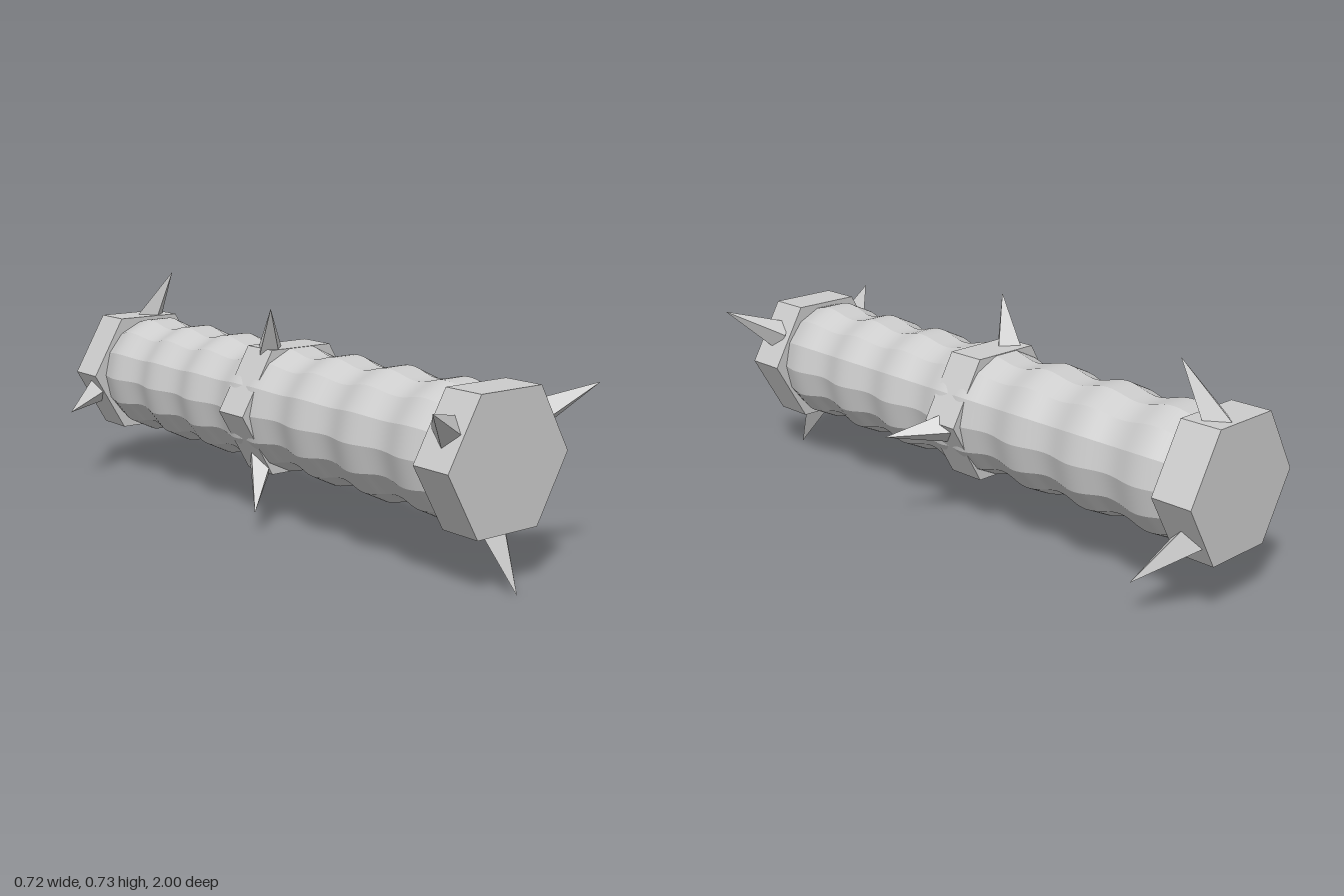
import * as THREE from 'three';

const CX = -0.008, CY = 0.375; // axis of the club

// Fourteen separate strips: crisp lengthwise edges, smooth swells along the shaft
function wavyShaft(z0, z1) {
  const sides = 14, steps = 60, pos = [], idx = [];
  for (let s = 0; s < sides; s++) {
    const base = pos.length / 3;
    for (let i = 0; i <= steps; i++) {
      const z = z0 + (z1 - z0) * i / steps;
      const r = 0.194 - 0.011 * Math.cos((Math.abs(z + 0.015) - 0.165) / 0.24 * Math.PI * 2);
      for (const k of [s, s + 1]) {
        const a = k / sides * Math.PI * 2;
        pos.push(r * Math.cos(a), r * Math.sin(a), z);
      }
      if (i < steps) {
        const a = base + i * 2;
        idx.push(a, a + 1, a + 3, a, a + 3, a + 2);
      }
    }
  }
  const g = new THREE.BufferGeometry();
  g.setAttribute('position', new THREE.Float32BufferAttribute(pos, 3));
  g.setIndex(idx);
  g.computeVertexNormals();
  return g;
}

export function createModel() {
  const model = new THREE.Group();
  const metal = new THREE.MeshStandardMaterial({ color: 0xcccccc, flatShading: true });
  metal.name = 'grey metal';
  const smooth = new THREE.MeshStandardMaterial({ color: 0xcccccc });
  smooth.name = 'grey shaft';
  const club = new THREE.Group();
  club.name = 'spikedClub';
  club.position.set(CX, CY, 0);
  model.add(club);

  // Shaft between the collars
  [['frontShaft', 0, 0.9], ['backShaft', -0.93, 0]].forEach(([name, a, b]) => {
    const shaft = new THREE.Mesh(wavyShaft(a, b), smooth);
    shaft.name = name;
    club.add(shaft);
  });

  // Hexagonal collars, each with three spikes leaning forward
  const up = new THREE.Vector3(0, 1, 0);
  const collars = [
    ['front', 0.825, 0.96, [31, 151, 271]],
    ['middle', -0.083, 0.045, [114, 234.5, 354.5]],
    ['back', -1, -0.865, [77, 197.5, 317]],
  ];
  for (const [name, z0, z1, angles] of collars) {
    const hex = new THREE.CylinderGeometry(0.231, 0.231, z1 - z0, 6);
    hex.rotateY(Math.PI / 6).rotateX(Math.PI / 2);
    const collar = new THREE.Mesh(hex, metal);
    collar.name = name + 'Collar';
    collar.position.z = (z0 + z1) / 2;
    club.add(collar);

    const tipZ = { front: 0.995, middle: 0.085, back: -0.832 }[name];
    for (const deg of angles) {
      const t = THREE.MathUtils.degToRad(deg);
      const radial = new THREE.Vector3(Math.cos(t), Math.sin(t), 0);
      const foot = radial.clone().multiplyScalar(0.18).setZ((z0 + z1) / 2 - 0.005);
      const tip = radial.clone().multiplyScalar(0.37).setZ(tipZ);
      const dir = tip.clone().sub(foot);
      const length = dir.length();
      dir.normalize();
      const side = new THREE.Vector3().crossVectors(dir, new THREE.Vector3(0, 0, 1)).normalize();
      const front = new THREE.Vector3().crossVectors(side, dir);
      const spike = new THREE.Mesh(new THREE.ConeGeometry(0.054, length, 4), metal);
      spike.name = name + 'Spike';
      spike.quaternion.setFromRotationMatrix(new THREE.Matrix4().makeBasis(side, dir, front));
      spike.position.copy(foot).add(tip).multiplyScalar(0.5);
      club.add(spike);
    }
  }
  return model;
}
